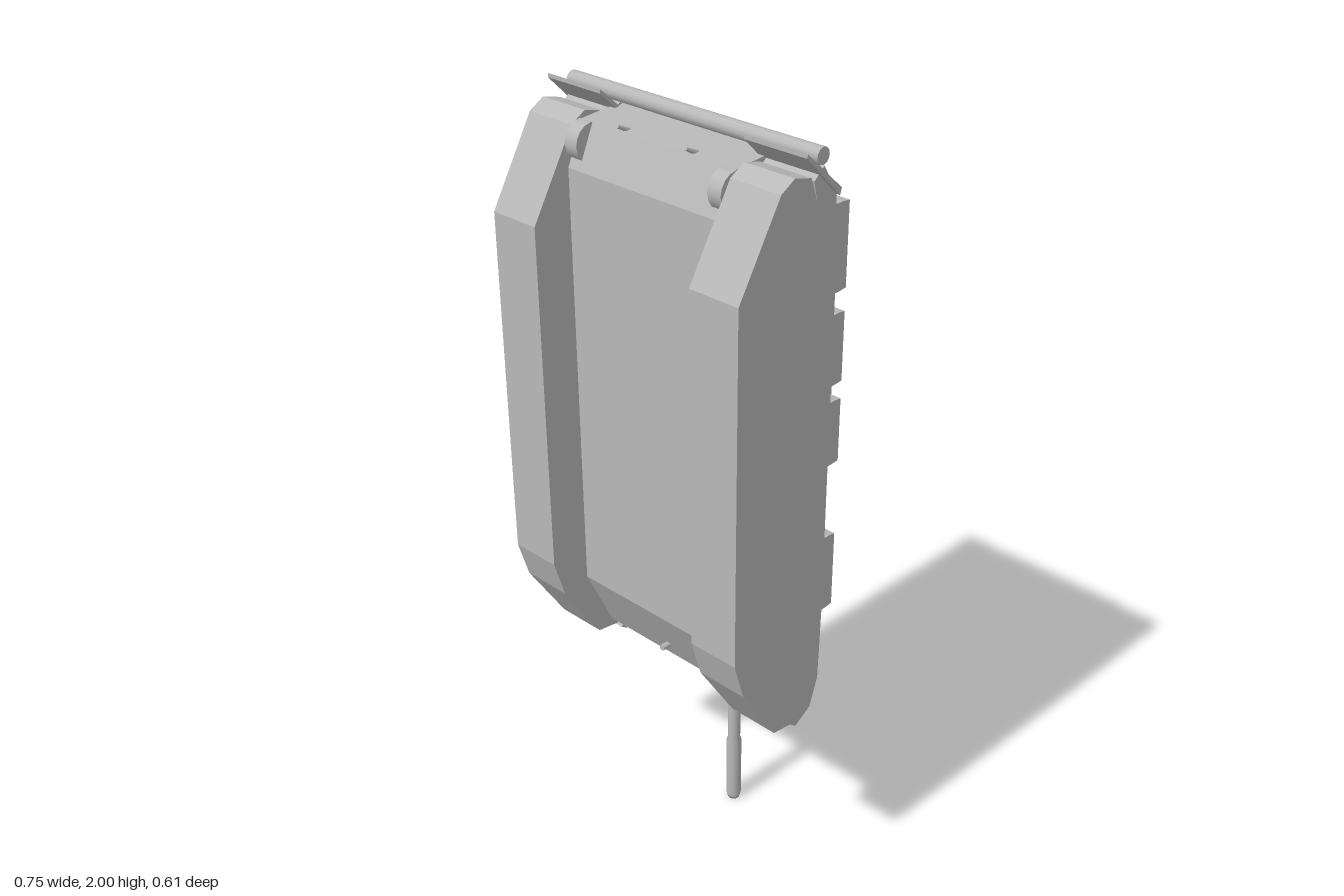
import * as THREE from 'three';

const paint = new THREE.MeshStandardMaterial({ color: 0xb8b8b8, side: THREE.DoubleSide });
paint.name = 'plain grey';
const V = (x, y, z) => new THREE.Vector3(x, y, z);
const CX = 0.015; // centre plane of the vehicle

export function createModel() {
  const model = new THREE.Group();
  model.name = 'uprightTank';

  const add = (name, geo) => {
    const mesh = new THREE.Mesh(geo, paint);
    mesh.name = name;
    model.add(mesh);
    return mesh;
  };
  // box from min and max corners
  const box = (name, x0, x1, y0, y1, z0, z1) => {
    const m = add(name, new THREE.BoxGeometry(x1 - x0, y1 - y0, z1 - z0));
    m.position.set((x0 + x1) / 2, (y0 + y1) / 2, (z0 + z1) / 2);
    return m;
  };
  // round bar from a to b
  const rod = (name, a, b, ra, rb = ra, sides = 12) => {
    const d = b.clone().sub(a);
    const m = add(name, new THREE.CylinderGeometry(rb, ra, d.length(), sides));
    m.position.copy(a).addScaledVector(d, 0.5);
    m.quaternion.setFromUnitVectors(V(0, 1, 0), d.normalize());
    return m;
  };
  // side profile of [z, y] points, extruded from x0 to x1
  const slab = (name, pts, x0, x1) => {
    const shape = new THREE.Shape(pts.map(p => new THREE.Vector2(p[0], p[1])));
    const geo = new THREE.ExtrudeGeometry(shape, { depth: x1 - x0, bevelEnabled: false });
    geo.rotateY(-Math.PI / 2).translate(x1, 0, 0);
    return add(name, geo);
  };

  // hull
  slab('hull', [[0.2, 0.77], [0.2, 1.84], [0.155, 1.94], [0.02, 1.95], [-0.035, 1.91],
    [-0.038, 0.92], [0.06, 0.59], [0.12, 0.6]], -0.212, 0.242);
  for (const [a, b] of [[-0.195, -0.01], [0.035, 0.225]]) {
    box('engineHatch', a, b, 1.69, 1.86, -0.052, -0.03);
    box('hatchLip', a, b, 1.86, 1.875, -0.056, -0.03);
  }
  box('engineDeck', -0.2, 0.235, 1.63, 1.67, -0.044, -0.03);

  // tracks, fenders and end flaps
  const track = [[0.3, 0.85], [0.3, 1.73], [0.18, 1.93], [0.14, 1.953], [0.09, 1.94], [0.065, 1.87],
    [0.08, 1.5], [0.075, 0.9], [0.04, 0.7], [0.03, 0.61], [0.09, 0.57], [0.16, 0.58], [0.27, 0.75]];
  const fender = [[0.08, 1.93], [0.05, 1.955], [0.01, 1.89], [0, 1.75], [0, 0.85], [0.005, 0.66],
    [0.03, 0.585], [0.08, 0.555], [0.1, 0.568], [0.03, 0.62], [0.04, 0.7], [0.075, 0.9], [0.08, 1.5], [0.065, 1.87]];
  const flap = [[0.005, 1.9], [0.115, 1.998], [0.115, 1.988], [0.01, 1.885]];
  for (const s of [-1, 1]) {
    const span = (a, b) => (s > 0 ? [CX + a, CX + b] : [CX - b, CX - a]);
    slab('track', track, ...span(0.233, 0.368));
    slab('fender', fender, ...span(0.215, 0.367));
    slab('rearFlap', flap, ...span(0.21, 0.377));
    const [a, b] = span(0.193, 0.23);
    rod('finalDrive', V(a, 1.895, 0.16), V(b, 1.895, 0.16), 0.045, 0.045, 16);
    rod('towHook', V(CX + s * 0.1, 1.935, 0.13), V(CX + s * 0.1, 1.955, 0.17), 0.006, 0.004, 6);
  }

  // stowage boxes on the fenders
  const chamferBox = [[0.005, 0], [-0.02, 0], [-0.04, 0.012], [-0.04, 0.988], [-0.02, 1], [0.005, 1]];
  for (const [a, b] of [[1.66, 1.86], [1.44, 1.61], [1.24, 1.4], [0.85, 1.05]])
    slab('leftStowage', chamferBox.map(([z, t]) => [z, a + (b - a) * t]), 0.248, 0.378);
  for (const [a, b, x] of [[1.67, 1.89, -0.255], [1.26, 1.55, -0.29], [0.83, 1.1, -0.245]])
    box('rightStowage', -0.352, x, a, b, -0.05, 0.005);

  // unditching log across the rear
  rod('log', V(-0.35, 1.975, 0.052), V(0.38, 1.975, 0.052), 0.019);

  // front plate fittings
  const glacisZ = y => 0.06 - (y - 0.59) * 0.297;
  const hatch = rod('driverHatch', V(-0.11, 0.9, -0.025), V(-0.11, 0.895, -0.046), 0.055, 0.05, 14);
  hatch.scale.y = 0.8;
  const splash = box('splashBoard', -0.2, 0.23, 0.715, 0.725, -0.005, 0.03);
  splash.position.z = glacisZ(0.72) - 0.008;
  for (const x of [-0.13, -0.09, 0.065, 0.11])
    rod('frontLamp', V(x, 0.775, glacisZ(0.79) - 0.02), V(x, 0.81, glacisZ(0.79) - 0.02), 0.017, 0.013, 8);
  rod('fenderLamp', V(0.26, 0.9, -0.02), V(0.26, 0.95, -0.02), 0.032, 0.02, 12);
  rod('towLug', V(0.015, 0.645, 0.13), V(0.015, 0.645, 0.165), 0.008);

  // turret: rings of [z, half width, rear reach, front reach]
  const rings = [[-0.045, 0.285, 0.265, 0.35], [-0.06, 0.297, 0.278, 0.37], [-0.09, 0.29, 0.275, 0.38],
    [-0.13, 0.268, 0.252, 0.37], [-0.16, 0.243, 0.222, 0.34], [-0.185, 0.208, 0.185, 0.27],
    [-0.205, 0.16, 0.14, 0.2], [-0.216, 0.09, 0.08, 0.11], [-0.219, 0.001, 0.001, 0.001]];
  const N = 36, pos = [], idx = [];
  rings.forEach(([z, w, rear, front], i) => {
    for (let j = 0; j < N; j++) {
      const t = (j / N) * Math.PI * 2, s = Math.sin(t);
      const narrow = s < 0 ? 1 - 0.22 * s * s : 1;
      pos.push(CX + w * Math.cos(t) * narrow, 1.3 + (s > 0 ? rear : front) * s, z);
      if (i === 0) continue;
      const k = (j + 1) % N, a = (i - 1) * N, b = i * N;
      idx.push(a + j, b + j, a + k, a + k, b + j, b + k);
    }
  });
  const dome = new THREE.BufferGeometry();
  dome.setAttribute('position', new THREE.Float32BufferAttribute(pos, 3));
  dome.setIndex(idx);
  dome.computeVertexNormals();
  add('turretDome', dome);
  rod('turretRing', V(CX, 1.28, -0.03), V(CX, 1.28, -0.055), 0.26, 0.26, 32);

  // gun shield: block that tapers towards the barrel
  const shield = new THREE.BoxGeometry(0.17, 0.25, 0.125);
  const p = shield.attributes.position;
  for (let i = 0; i < p.count; i++) {
    if (p.getY(i) < 0) { p.setX(i, p.getX(i) * 0.45); p.setZ(i, p.getZ(i) * 0.6); }
  }
  shield.computeVertexNormals();
  add('gunShield', shield).position.set(0.02, 1.015, -0.112);

  // gun
  const barrel = [[0.001, 0], [0.016, 0], [0.02, 0.015], [0.02, 0.2], [0.0165, 0.21], [0.02, 0.6], [0.023, 0.95]];
  add('gunBarrel', new THREE.LatheGeometry(barrel.map(q => new THREE.Vector2(...q)), 16)).position.set(0.02, 0, -0.098);

  // searchlight over the gun
  rod('searchlightStem', V(0.015, 1.04, -0.15), V(0.015, 1.01, -0.225), 0.008);
  rod('searchlight', V(0.015, 0.985, -0.235), V(0.015, 1.045, -0.227), 0.024, 0.016, 6);
  rod('searchlightBar', V(-0.02, 1.02, -0.2), V(0.05, 1.02, -0.2), 0.006);

  // commander cupola with its mount
  rod('cupolaRing', V(-0.105, 1.37, -0.18), V(-0.105, 1.37, -0.217), 0.088, 0.083, 14);
  rod('cupolaDome', V(-0.105, 1.37, -0.217), V(-0.105, 1.37, -0.24), 0.075, 0.02, 14);
  rod('mountBar', V(-0.17, 1.38, -0.241), V(-0.04, 1.38, -0.241), 0.008);
  rod('mountPost', V(-0.105, 1.38, -0.23), V(-0.105, 1.3, -0.265), 0.009);
  rod('mountLamp', V(-0.105, 1.27, -0.277), V(-0.105, 1.315, -0.277), 0.029, 0.02, 6);
  for (const x of [-0.15, -0.06])
    rod('mountFoot', V(x, 1.36, -0.2), V(x, 1.41, -0.246), 0.007);

  // loader hatch
  rod('loaderRing', V(0.145, 1.37, -0.16), V(0.145, 1.37, -0.218), 0.092, 0.086, 14);
  box('hatchBlock', 0.083, 0.198, 1.36, 1.4, -0.24, -0.21);
  rod('hatchPeriscope', V(0.137, 1.38, -0.238), V(0.137, 1.38, -0.262), 0.035, 0.018, 8);

  // roof periscopes
  for (const [x, y] of [[0.12, 1.22], [-0.1, 1.2], [0.03, 1.37], [-0.05, 1.22]])
    rod('periscope', V(x, y, -0.17), V(x, y, -0.212), 0.018, 0.018, 10);

  // breathing tube stowed on the turret flank
  const a = V(-0.165, 1.58, -0.148), b = V(-0.315, 1.3, -0.148);
  rod('snorkelTube', a, b, 0.02);
  rod('snorkelCap', b, V(-0.325, 1.282, -0.148), 0.027, 0.027, 8);
  box('snorkelBlock', -0.192, -0.146, 1.555, 1.598, -0.17, -0.126);
  return model;
}
